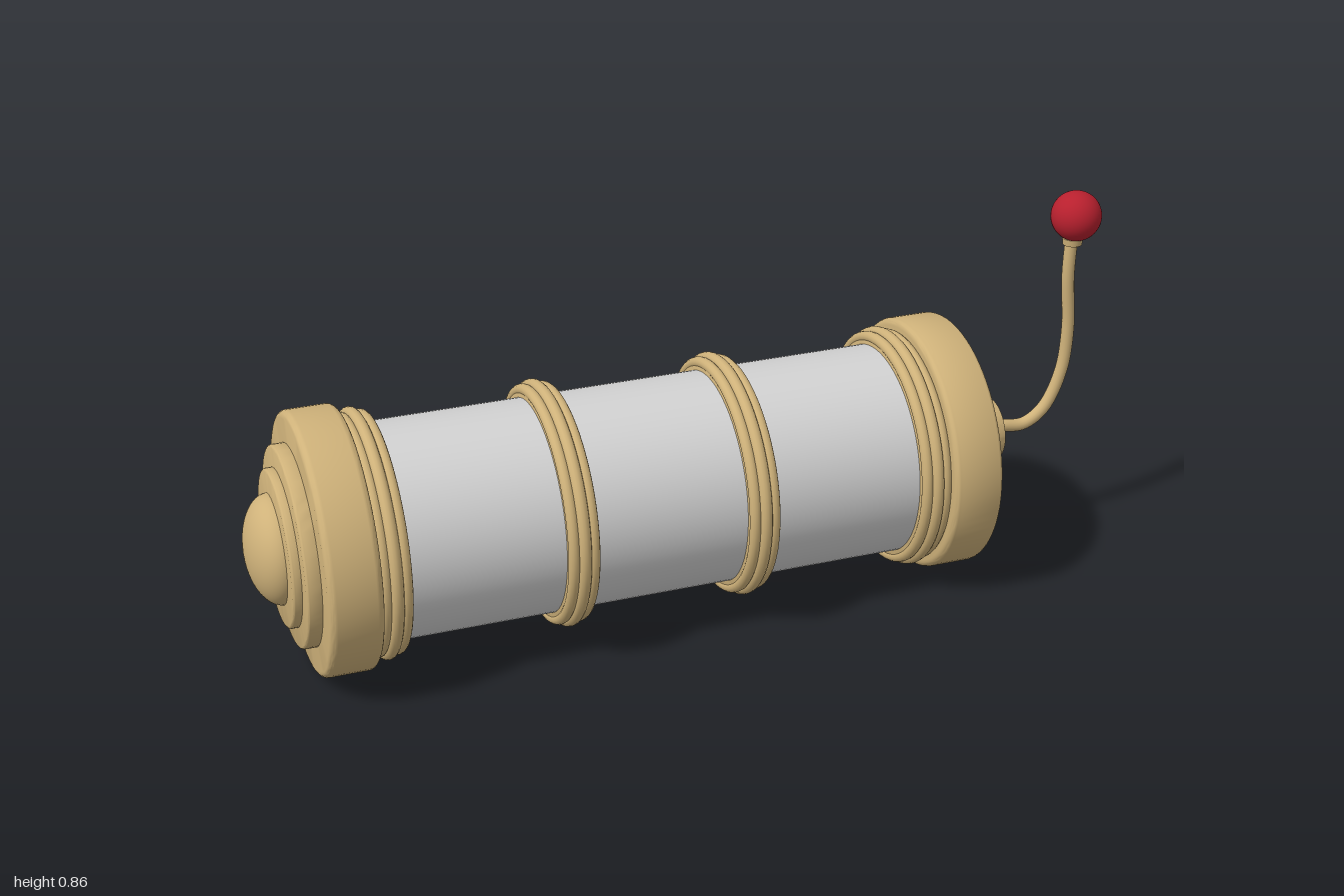
import * as THREE from 'three';
import { toCreasedNormals } from 'three/addons/utils/BufferGeometryUtils.js';

const AXIS_Y = 0.291;
const SEG = 72;

export function createModel() {
  const brass = new THREE.MeshStandardMaterial({ color: 0xcfb27a });
  brass.name = 'brass';
  const silver = new THREE.MeshStandardMaterial({ color: 0xd2d2d2 });
  silver.name = 'silver';
  const red = new THREE.MeshStandardMaterial({ color: 0xb8202e });
  red.name = 'red';

  const group = new THREE.Group();
  group.name = 'canister';

  function add(name, geometry, material, x = 0, y = AXIS_Y) {
    const mesh = new THREE.Mesh(geometry, material);
    mesh.name = name;
    mesh.position.set(x, y, 0);
    group.add(mesh);
    return mesh;
  }

  // Solid disc along x with rounded rims
  function disc(name, x0, x1, r, bevel) {
    const pts = [new THREE.Vector2(0, x0)];
    for (const [cx, start] of [[x0 + bevel, -Math.PI / 2], [x1 - bevel, 0]]) {
      for (let i = 0; i <= 5; i++) {
        const a = start + (i / 5) * Math.PI / 2;
        pts.push(new THREE.Vector2(r - bevel + bevel * Math.cos(a), cx + bevel * Math.sin(a)));
      }
    }
    pts.push(new THREE.Vector2(0, x1));
    const geo = toCreasedNormals(new THREE.LatheGeometry(pts, SEG).rotateZ(-Math.PI / 2), 0.6);
    return add(name, geo, brass);
  }

  // Main barrel
  add('barrel', new THREE.CylinderGeometry(0.24, 0.24, 1.34, SEG, 1, true).rotateZ(Math.PI / 2), silver, -0.115);

  // Triple-beaded bands around the barrel
  for (const x of [-0.733, -0.324, 0.088, 0.497]) {
    for (const [dx, r, tube] of [[-0.022, 0.256, 0.013], [0, 0.263, 0.014], [0.022, 0.256, 0.013]]) {
      add('bandBead', new THREE.TorusGeometry(r, tube, 14, SEG).rotateY(Math.PI / 2), brass, x + dx);
    }
    disc('bandCore', x - 0.033, x + 0.033, 0.257, 0.005);
  }

  // Stepped end caps
  disc('leftCap', -0.882, -0.765, 0.291, 0.016);
  disc('leftStep', -0.914, -0.87, 0.222, 0.008);
  disc('leftInnerStep', -0.934, -0.9, 0.174, 0.008);
  disc('rightCap', 0.53, 0.647, 0.291, 0.016);
  disc('rightStep', 0.63, 0.675, 0.222, 0.008);
  disc('rightInnerStep', 0.66, 0.697, 0.174, 0.008);
  disc('leverHub', 0.68, 0.76, 0.072, 0.003);

  // Domed boss on the left end
  const dome = new THREE.SphereGeometry(1, 48, 16, 0, Math.PI * 2, 0, Math.PI / 2).rotateZ(Math.PI / 2);
  add('endDome', dome, brass, -0.932).scale.set(0.068, 0.122, 0.122);

  // Bent lever with collar and ball grip
  const path = new THREE.CatmullRomCurve3([
    [0.74, 0.293], [0.78, 0.293], [0.84, 0.289], [0.89, 0.322], [0.93, 0.41],
    [0.941, 0.52], [0.932, 0.65], [0.935, 0.76],
  ].map(([x, y]) => new THREE.Vector3(x, y, 0)));
  add('lever', new THREE.TubeGeometry(path, 64, 0.0148, 16), brass, 0, 0);
  add('leverCollar', new THREE.CylinderGeometry(0.024, 0.022, 0.016, 32), brass, 0.937, 0.737);
  add('ballGrip', new THREE.SphereGeometry(0.058, 40, 28), red, 0.942, 0.797);

  return group;
}
